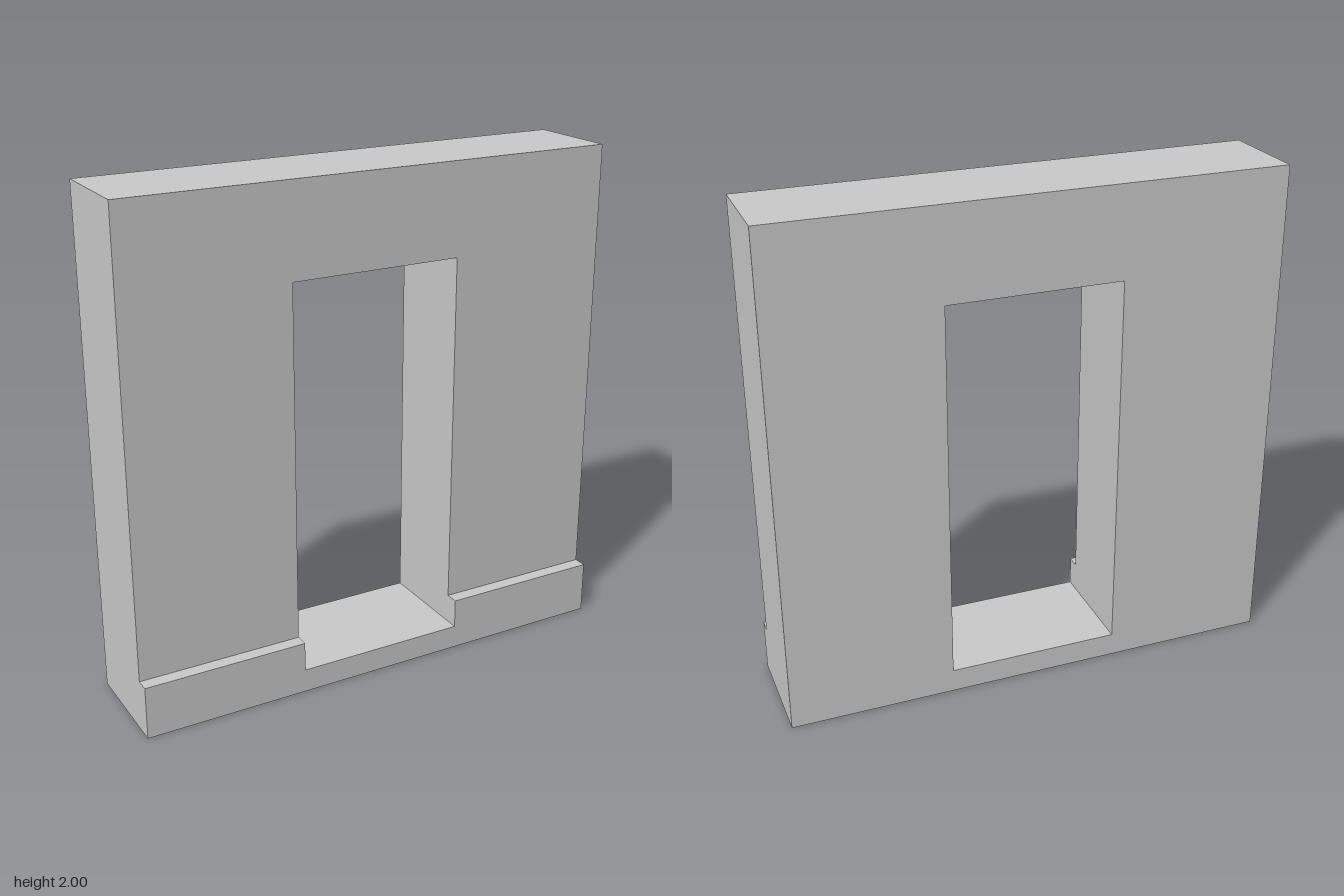
import * as THREE from 'three';

const BACK = -0.217, WALL_FRONT = 0.163, PLINTH_FRONT = 0.217;
const DOOR = 0.344, SILL = 0.095, LINTEL = 1.635, PLINTH_TOP = 0.213;

const points = (list) => list.map(([x, y]) => new THREE.Vector2(x, y));

// Extrudes an upright outline between two depths
function slab(name, shape, z0, z1) {
  const geometry = new THREE.ExtrudeGeometry(shape, { depth: z1 - z0, bevelEnabled: false });
  geometry.translate(0, 0, z0);
  const material = new THREE.MeshStandardMaterial({ color: 0xcccccc, flatShading: true });
  const mesh = new THREE.Mesh(geometry, material);
  mesh.name = name;
  return mesh;
}

export function createModel() {
  const group = new THREE.Group();
  group.name = 'doorwayWall';

  // Wall with the doorway cut through it
  const wall = new THREE.Shape(points([[-1, 0], [1, 0], [1, 2], [-1, 2]]));
  wall.holes.push(new THREE.Path(points([
    [-DOOR, SILL], [-DOOR, LINTEL], [DOOR, LINTEL], [DOOR, SILL],
  ])));
  group.add(slab('wall', wall, BACK, WALL_FRONT));

  // Front plinth, dropping to the threshold at the doorway
  const plinth = new THREE.Shape(points([
    [-1, 0], [1, 0], [1, PLINTH_TOP], [DOOR, PLINTH_TOP],
    [DOOR, SILL], [-DOOR, SILL], [-DOOR, PLINTH_TOP], [-1, PLINTH_TOP],
  ]));
  group.add(slab('plinth', plinth, WALL_FRONT, PLINTH_FRONT));

  return group;
}
